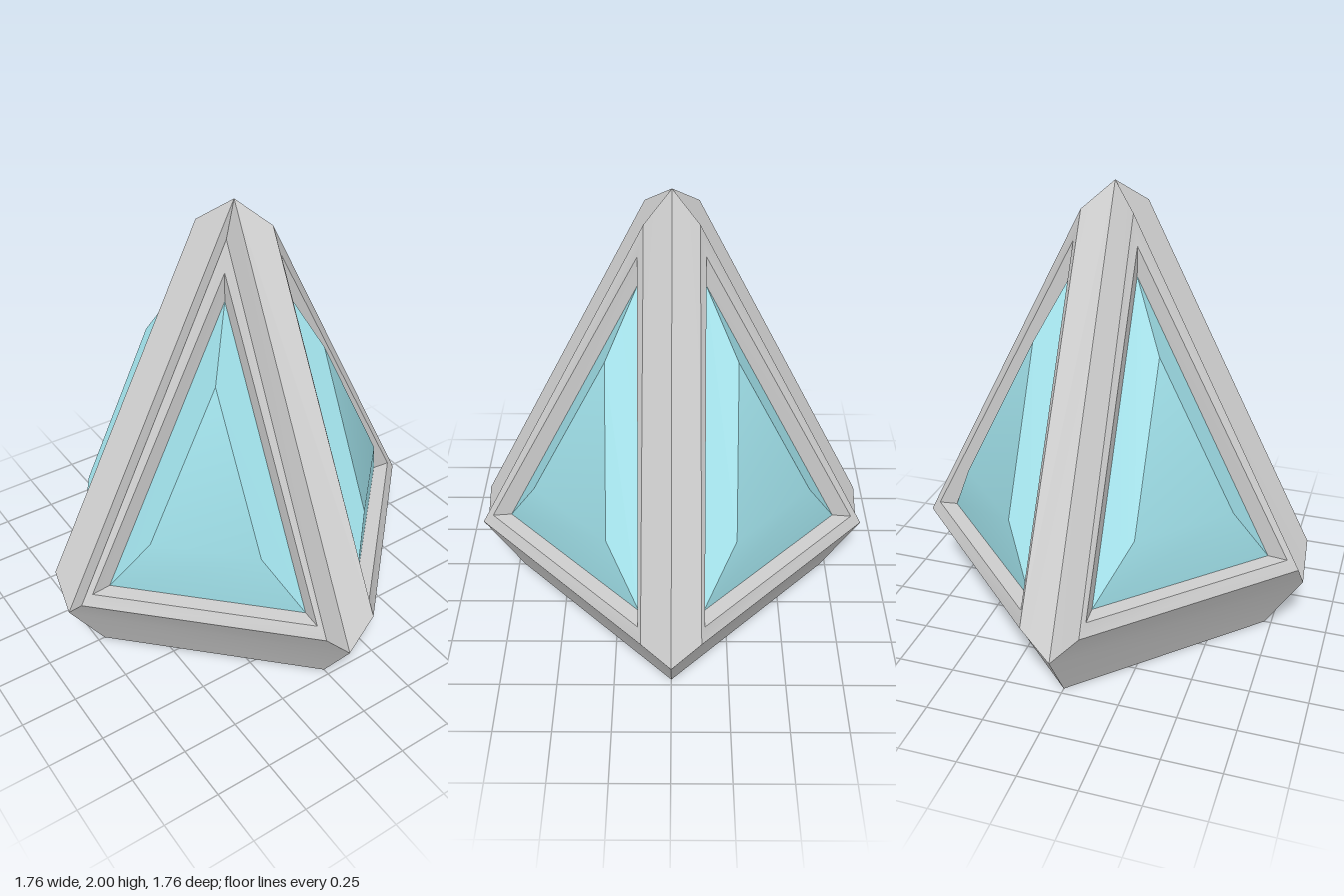
import * as THREE from 'three';
import { toCreasedNormals } from 'three/addons/utils/BufferGeometryUtils.js';

// Geometry from flat polygons, corners counter-clockwise seen from outside
function fromFaces(faces) {
  const pos = [];
  for (const f of faces)
    for (let i = 1; i < f.length - 1; i++) pos.push(...f[0], ...f[i], ...f[i + 1]);
  const g = new THREE.BufferGeometry();
  g.setAttribute('position', new THREE.Float32BufferAttribute(pos, 3));
  return toCreasedNormals(g, Math.PI / 6);
}

// Quads joining two triangular rings
const band = (a, b) => a.map((p, i) => {
  const j = (i + 1) % a.length;
  return [p, a[j], b[j], b[i]];
});

// Ring of one side panel: top corner, corner near +z, corner near +x
const ring = (top, topY, far, near, lowY) => [
  [top, topY, top], [near, lowY, far], [far, lowY, near],
];

export function createModel() {
  const model = new THREE.Group();
  const grey = new THREE.MeshStandardMaterial({ color: 0xcccccc });
  const blue = new THREE.MeshStandardMaterial({ color: 0x9fdfe8 });

  const outer = ring(0.11, 1.9, 0.87, 0.125, 0.39);
  const opening = ring(0.135, 1.775, 0.82, 0.138, 0.44);
  const glassEdge = ring(0.135, 1.65, 0.735, 0.135, 0.445);
  const glassFace = ring(0.27, 1.37, 0.6, 0.27, 0.71);
  const [v, ez, ex] = outer;
  const apex = [0, 2, 0];
  const bx = [0.88, 0.25, 0], bz = [0, 0.25, 0.88];
  const qx = [0.72, 0, 0], qz = [0, 0, 0.72];

  const parts = {
    // flat rim and the recess walls behind it
    windowFrame: [fromFaces([...band(outer, opening), ...band(opening, glassEdge)]), grey],
    // bevelled pane bulging through the opening
    glassPane: [fromFaces([...band(glassEdge, glassFace), glassFace]), blue],
    // half of each neighbouring corner channel
    cornerRibs: [fromFaces([[apex, v, ex, bx], [apex, bz, ez, v]]), grey],
    // tapering foot and its underside
    base: [fromFaces([[ez, bz, bx, ex], [bz, qz, qx, bx], [[0, 0, 0], qx, qz]]), grey],
  };

  // Four identical sides
  for (let k = 0; k < 4; k++) {
    const side = new THREE.Group();
    side.name = 'side' + (k + 1);
    for (const [name, [geometry, material]] of Object.entries(parts)) {
      const mesh = new THREE.Mesh(geometry, material);
      mesh.name = name;
      side.add(mesh);
    }
    side.rotation.y = k * Math.PI / 2;
    model.add(side);
  }
  return model;
}
